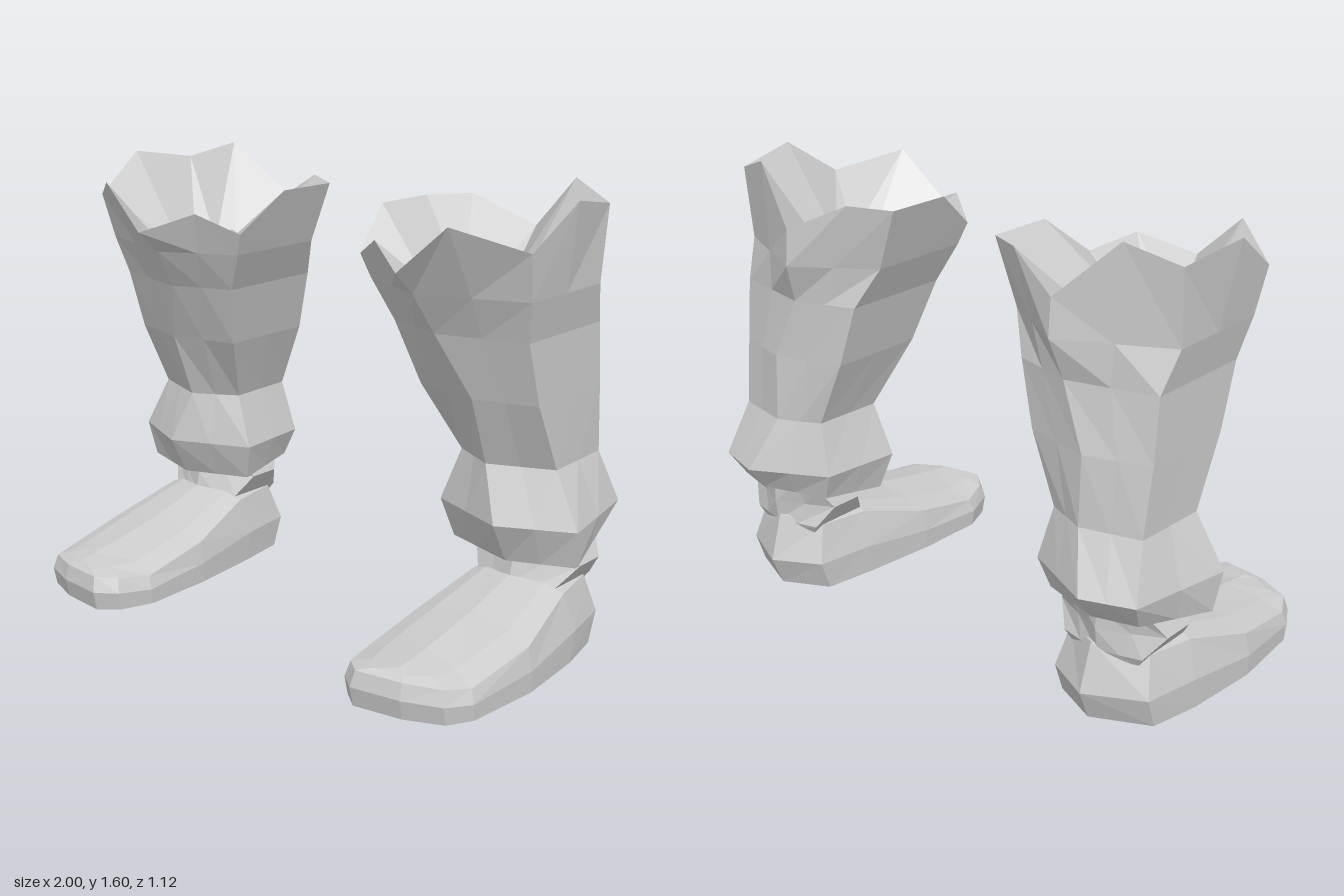
import * as THREE from 'three';

const material = new THREE.MeshStandardMaterial({ color: 0xcccccc, flatShading: true });

// Skin a stack of equal-length rings; side = -1 mirrors in x and keeps faces outward
function loft(name, rings, side) {
  const n = rings[0].length, pos = [], index = [];
  rings.forEach(r => r.forEach(([x, y, z]) => pos.push(x * side, y, z)));
  for (let k = 0; k + 1 < rings.length; k++) {
    for (let i = 0; i < n; i++) {
      const a = k * n + i, b = k * n + (i + 1) % n;
      const quad = [a, b, b + n, a, b + n, a + n];
      index.push(...(side > 0 ? quad : quad.reverse()));
    }
  }
  const g = new THREE.BufferGeometry();
  g.setAttribute('position', new THREE.Float32BufferAttribute(pos, 3));
  g.setIndex(index);
  g.computeVertexNormals();
  const mesh = new THREE.Mesh(g, material);
  mesh.name = name;
  return mesh;
}

// Six-cornered section with midpoints: front, outer pair, back, inner pair.
// The back corners may be given their own place where the section narrows.
function section([y, xIn, xOut, xMid, zFront, zCornerF, zCornerB, zBack,
  xOutB = xOut, xInB = xIn, zInB = zCornerB]) {
  const c = [[xMid, y, zFront], [xOut, y, zCornerF], [xOutB, y, zCornerB],
    [xMid, y, zBack], [xInB, y, zInB], [xIn, y, zCornerF]];
  return c.flatMap((p, i) => {
    const q = c[(i + 1) % 6];
    return [p, p.map((v, k) => (v + q[k]) / 2)];
  });
}

const point = (n, p) => Array.from({ length: n }, () => p);

// Piecewise linear curve through [z, y] pairs, z ascending
function curve(pts, z) {
  if (z <= pts[0][0]) return pts[0][1];
  for (let i = 1; i < pts.length; i++) {
    const [z0, y0] = pts[i - 1], [z1, y1] = pts[i];
    if (z <= z1) return y0 + (y1 - y0) * (z - z0) / (z1 - z0);
  }
  return pts[pts.length - 1][1];
}

// Flared leg with a jagged top edge and a recessed opening
function legRings() {
  const hem = [
    [0.40, 0.60, 0.88, 0.74, -0.17, -0.21, -0.38, -0.41],
    [0.35, 0.49, 0.985, 0.75, -0.08, -0.15, -0.44, -0.49, 0.90, 0.52, -0.40],
  ].map(row => section(row).map(([x, y, z]) => [x, y - 0.13 * (z + 0.11), z]));
  const rows = [
    [0.49, 0.45, 1.00, 0.75, 0.00, -0.12, -0.50, -0.56, 0.93, 0.48, -0.42],
    [0.68, 0.52, 0.90, 0.68, -0.05, -0.14, -0.42, -0.47, 0.89, 0.53, -0.40],
    [0.92, 0.43, 0.90, 0.68, 0.04, -0.02, -0.39, -0.46],
    [1.14, 0.37, 0.90, 0.59, 0.13, 0.05, -0.37, -0.44],
    [1.28, 0.30, 0.93, 0.57, 0.22, 0.09, -0.31, -0.49],
  ];
  const rim = [
    [0.57, 1.36, 0.31], [0.75, 1.52, 0.29], [0.95, 1.44, 0.13],
    [0.98, 1.58, -0.08], [0.94, 1.54, -0.33], [0.77, 1.60, -0.40],
    [0.57, 1.41, -0.48], [0.36, 1.51, -0.40], [0.22, 1.50, -0.32],
    [0.22, 1.50, -0.07], [0.27, 1.36, 0.11], [0.40, 1.43, 0.20],
  ];
  // Hexagonal opening
  const opening = (y, r) => rim.map((_, i) => {
    const a = i * Math.PI / 6, s = i % 2 ? r * 0.87 : r;
    return [0.62 + s * Math.sin(a), y, -0.07 + s * 1.15 * Math.cos(a)];
  });
  return [...hem, ...rows.map(section), rim, opening(1.25, 0.15), opening(1.30, 0.13),
    point(12, [0.63, 1.14, -0.05])];
}

// Ankle band bulging between leg and shoe
function ankleRings() {
  return [
    [0.22, 0.60, 0.87, 0.74, -0.14, -0.18, -0.39, -0.43],
    [0.25, 0.58, 0.89, 0.74, -0.12, -0.17, -0.40, -0.44],
    [0.33, 0.53, 0.95, 0.74, -0.14, -0.23, -0.35, -0.45],
    [0.41, 0.57, 0.90, 0.74, -0.13, -0.17, -0.40, -0.45],
  ].map(section);
}

// Shoe: plan outline raised in rings that follow side, shoulder and crown lines
function shoeRings() {
  const outline = [[0.60, 0.56], [0.78, 0.535], [0.91, 0.48], [0.96, 0.39], [0.985, 0.1],
    [0.96, -0.2], [0.92, -0.40], [0.72, -0.5], [0.55, -0.41], [0.52, -0.2],
    [0.49, 0.1], [0.485, 0.38], [0.53, 0.5]];
  const low = [[-0.5, 0.11], [-0.15, 0.11], [0.28, 0.05], [0.55, 0.07]];
  const shoulder = [[-0.45, 0.28], [-0.37, 0.25], [-0.15, 0.24], [0.05, 0.17], [0.3, 0.095], [0.53, 0.125]];
  const crown = [[-0.4, 0.27], [-0.13, 0.285], [0.1, 0.21], [0.4, 0.155], [0.54, 0.145]];
  // Scale in width, towards the toe and towards the heel
  const ring = (sx, toe, heel, height) => outline.map(([x, z]) => {
    const zz = 0.03 + (z - 0.03) * (z > 0 ? toe : heel);
    const narrow = z < 0 && sx < 0.97 ? 0.9 : 1;
    return [0.735 + (x - 0.735) * sx * narrow, height(zz), zz];
  });
  const side = z => curve(shoulder, z), top = z => curve(crown, z);
  return [point(outline.length, [0.735, 0, 0.03]),
    ring(0.99, 0.97, 0.91, () => 0), ring(1, 1, 1, z => curve(low, z)),
    ring(0.93, 0.97, 0.9, side), ring(0.6, 0.92, 0.85, z => 0.4 * side(z) + 0.6 * top(z)),
    ring(0, 0.85, 0.8, top)];
}

export function createModel() {
  const model = new THREE.Group();
  for (const side of [1, -1]) {
    const leg = new THREE.Group();
    leg.name = side > 0 ? 'leftLeg' : 'rightLeg';
    leg.add(loft('trouserLeg', legRings(), side),
      loft('ankle', ankleRings(), side),
      loft('shoe', shoeRings(), side));
    model.add(leg);
  }
  return model;
}
